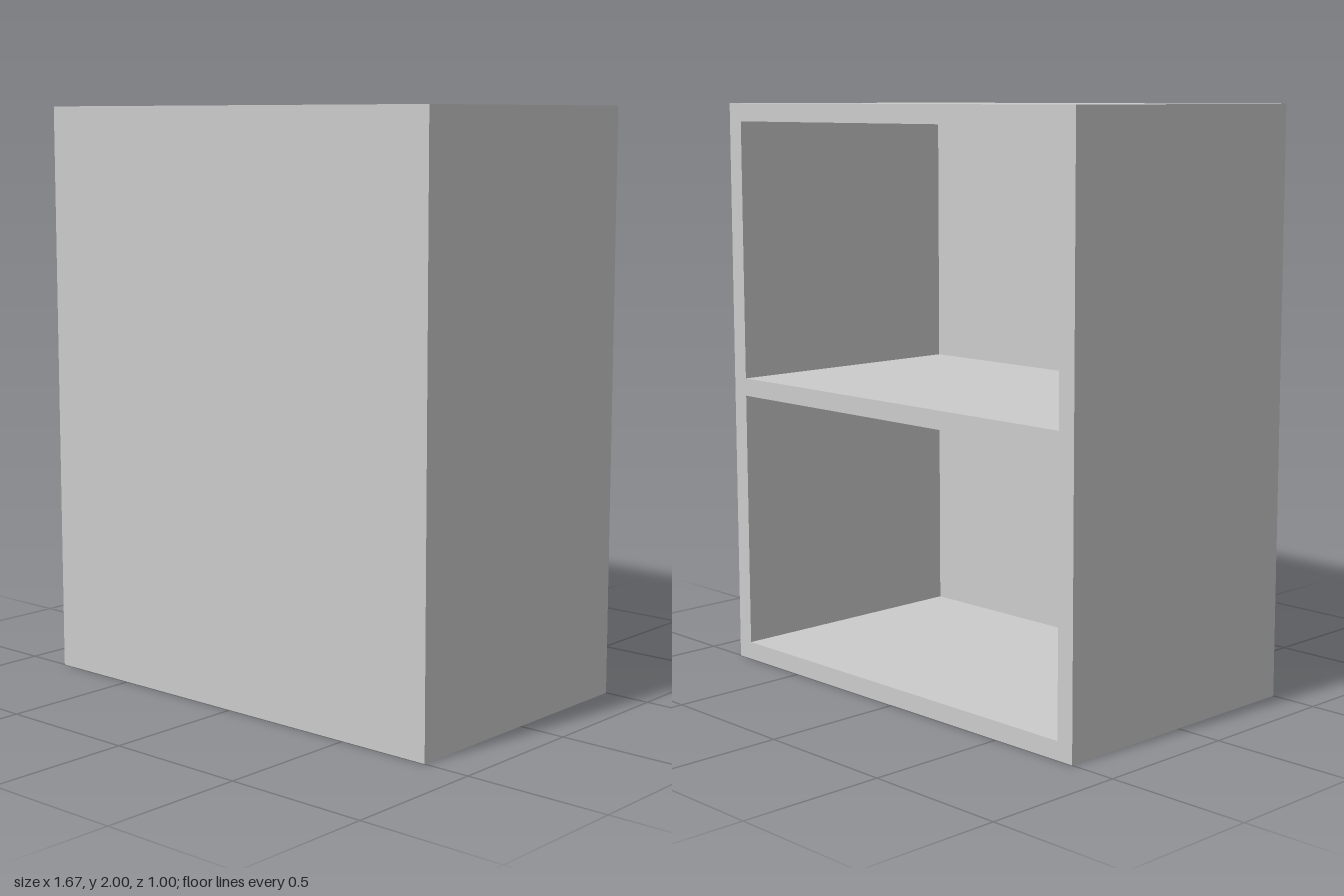
import * as THREE from 'three';

const W = 1.667, H = 2, D = 1, T = 0.0625; // overall size and board thickness

// Counter-clockwise rectangle points
function rect(x0, y0, x1, y1) {
  return [[x0, y0], [x1, y0], [x1, y1], [x0, y1]].map(([x, y]) => new THREE.Vector2(x, y));
}

export function createModel() {
  const group = new THREE.Group();
  group.name = 'cabinet';
  const material = new THREE.MeshStandardMaterial({ color: 0xcccccc, flatShading: true });

  // Carcass: sides, top, bottom and middle shelf, with two equal compartments
  const outline = new THREE.Shape(rect(-W / 2, 0, W / 2, H));
  const openingHeight = (H - 3 * T) / 2;
  for (let i = 0; i < 2; i++) {
    const y = T + i * (openingHeight + T);
    outline.holes.push(new THREE.Path(rect(-W / 2 + T, y, W / 2 - T, y + openingHeight).reverse()));
  }
  const carcass = new THREE.Mesh(
    new THREE.ExtrudeGeometry(outline, { depth: D - T, bevelEnabled: false }), material);
  carcass.name = 'carcassWithShelf';
  carcass.position.z = -D / 2;
  group.add(carcass);

  // Closed front panel; the compartments open to the back
  const panel = new THREE.Mesh(new THREE.BoxGeometry(W, H, T), material);
  panel.name = 'frontPanel';
  panel.position.set(0, H / 2, D / 2 - T / 2);
  group.add(panel);

  return group;
}
